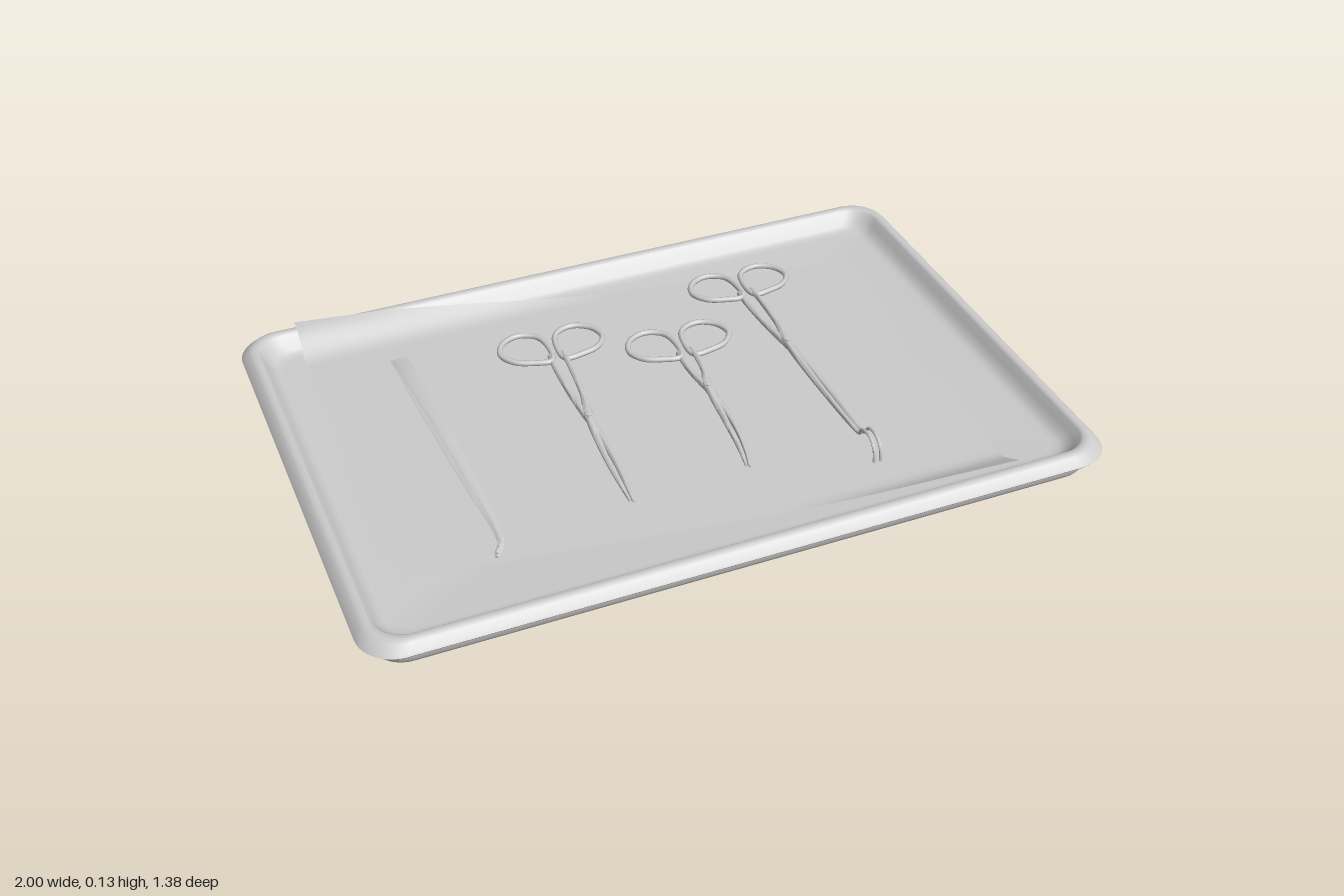
import * as THREE from 'three';
import { toCreasedNormals } from 'three/addons/utils/BufferGeometryUtils.js';

const steel = new THREE.MeshStandardMaterial({ color: 0xcccccc });
const sheet = new THREE.MeshStandardMaterial({ color: 0xcccccc, side: THREE.DoubleSide });
const FLOOR = 0.035, CLOTH = 0.042;

function part(name, geometry, parent, material = steel) {
  const mesh = new THREE.Mesh(geometry, material);
  mesh.name = name;
  parent.add(mesh);
  return mesh;
}

// Skin a stack of equal-length rings and close both ends
function loft(rings, crease) {
  const n = rings[0].length, pos = [], index = [];
  rings.forEach(r => r.forEach(p => pos.push(p.x, p.y, p.z)));
  for (let i = 0; i < rings.length - 1; i++) {
    for (let j = 0; j < n; j++) {
      const a = i * n + j, b = i * n + (j + 1) % n;
      index.push(a, b, b + n, a, b + n, a + n);
    }
  }
  [0, rings.length - 1].forEach((i, end) => {
    const pole = pos.length / 3;
    const c = rings[i].reduce((s, p) => s.add(p), new THREE.Vector3()).divideScalar(n);
    pos.push(c.x, c.y, c.z);
    for (let j = 0; j < n; j++) {
      const a = i * n + j, b = i * n + (j + 1) % n;
      if (end) index.push(pole, a, b); else index.push(pole, b, a);
    }
  });
  const g = new THREE.BufferGeometry();
  g.setAttribute('position', new THREE.Float32BufferAttribute(pos, 3));
  g.setIndex(index);
  g.computeVertexNormals();
  return toCreasedNormals(g, crease);
}

// Sweep an oval section along points [x, y, z, halfWidth, halfHeight]
function sweep(points, steps = 48) {
  const path = new THREE.CatmullRomCurve3(points.map(p => new THREE.Vector3(p[0], p[1], p[2])), false, 'centripetal');
  const up = new THREE.Vector3(0, 1, 0), rings = [];
  for (let i = 0; i <= steps; i++) {
    const t = i / steps, f = t * (points.length - 1);
    const k = Math.min(Math.floor(f), points.length - 2);
    const w = THREE.MathUtils.lerp(points[k][3], points[k + 1][3], f - k);
    const h = THREE.MathUtils.lerp(points[k][4], points[k + 1][4], f - k);
    const T = path.getTangent(t), L = up.clone().cross(T).normalize(), U = T.clone().cross(L);
    const c = path.getPoint(t), ring = [];
    for (let j = 0; j < 10; j++) {
      const a = j / 10 * Math.PI * 2;
      ring.push(c.clone().addScaledVector(L, Math.cos(a) * w).addScaledVector(U, Math.sin(a) * h));
    }
    rings.push(ring);
  }
  return loft(rings, 1);
}

// Rounded rectangle, inset from the outer edge of the tray
function trayRing([inset, y]) {
  const r = 0.1 - 0.4 * inset, ring = [];
  [[1, 1], [-1, 1], [-1, -1], [1, -1]].forEach(([sx, sz], c) => {
    for (let k = 0; k <= 10; k++) {
      const a = (c + k / 10) * Math.PI / 2;
      ring.push(new THREE.Vector3(sx * (1 - inset - r) + r * Math.cos(a), y,
        -(sz * (0.69 - inset - r) + r * Math.sin(a))));
    }
  });
  return ring;
}

// Cloth draped over the floor, climbing the wall where it reaches it
function clothGeometry() {
  const g = new THREE.PlaneGeometry(1, 1, 60, 50), p = g.attributes.position;
  const [A, B, C, D] = [[-0.83, -0.68], [0.8, -0.44], [0.74, 0.63], [-0.87, 0.41]];
  for (let i = 0; i < p.count; i++) {
    const u = p.getX(i) + 0.5, v = 0.5 - p.getY(i);
    const mix = k => (1 - v) * ((1 - u) * A[k] + u * B[k]) + v * ((1 - u) * D[k] + u * C[k]);
    const wave = Math.sin(v * Math.PI) * (0.012 * Math.sin(v * 11) - 0.012);
    const x = mix(0) + wave * (2 * u - 0.6), z = mix(1);
    const d = Math.min(1 - Math.abs(x), 0.69 - Math.abs(z));
    const climb = THREE.MathUtils.smoothstep(0.15 - d, 0, 0.115);
    p.setXYZ(i, x, CLOTH + 0.048 * climb, z);
  }
  g.computeVertexNormals();
  return g;
}

// Ring-handled instrument: two mirrored halves crossing at a pivot
function ringInstrument(name, o) {
  const tool = new THREE.Group();
  tool.name = name;
  tool.position.set(o.x, 0, o.z);
  tool.rotation.y = o.tilt;
  const yAt = z => 0.054 + o.lift * z / o.tip;
  for (const s of [-1, 1]) {
    const side = s < 0 ? 'right' : 'left';
    const loop = [[0.02, 0.075], [0.012, 0], [0.03, -0.05], [0.08, -0.07], [0.13, -0.045],
      [0.148, 0.005], [0.12, 0.05], [0.07, 0.07]].map(([x, z]) => new THREE.Vector3(s * x, yAt(z), z));
    part(side + 'FingerRing', new THREE.TubeGeometry(
      new THREE.CatmullRomCurve3(loop, true), 48, 0.008, 8, true), tool);
    const at = (x, z, w, h, bend = 0) => [s * x + bend, yAt(z) + s * 0.003, z, w, h];
    const span = o.tip - o.pivot;
    const pts = [
      at(0.019, 0.05, 0.007, 0.008), at(0.02, 0.1, 0.008, 0.008),
      at(0.014, o.pivot * 0.7, 0.008, 0.009), at(0.004, o.pivot - 0.03, 0.012, 0.01),
      at(-0.004, o.pivot + 0.04, 0.011, 0.01),
      at(-0.01, o.pivot + span * 0.5, 0.008, 0.008, o.bend * 0.1),
      at(-0.008, o.pivot + span * 0.8, 0.006, 0.006, o.bend * 0.5),
    ];
    if (o.hook) { // jaw arches up and over at the end
      const z = o.tip, y = yAt(z);
      [[-0.09, 0.004], [-0.08, 0.022], [-0.05, 0.034], [-0.02, 0.026], [-0.003, 0.002], [0, -0.025]]
        .forEach(([dz, dy]) => pts.push([s * -0.009, y + dy, z + dz, 0.005, 0.004]));
    } else {
      pts.push(at(-0.005, o.tip, 0.004, 0.004, o.bend));
    }
    part(side + 'Blade', sweep(pts, 72), tool);
  }
  const pin = part('pivotPin', new THREE.CylinderGeometry(0.007, 0.007, 0.03, 16), tool);
  pin.position.set(0, yAt(o.pivot), o.pivot);
  return tool;
}

// Two spring strips joined at the back, with sideways-bent tips
function tweezers() {
  const g = new THREE.Group();
  g.name = 'tweezers';
  const plan = [[-0.595, -0.45, 0.024, 0], [-0.593, -0.35, 0.023, 0.5], [-0.588, -0.1, 0.02, 1],
    [-0.58, 0.15, 0.016, 0.85], [-0.573, 0.34, 0.01, 0.5], [-0.58, 0.4, 0.008, 0.4], [-0.603, 0.435, 0.005, 0.35]];
  [['lowerArm', 0], ['upperArm', 0.034]].forEach(([name, rise]) =>
    part(name, sweep(plan.map(([x, z, w, k]) => [x, 0.05 + rise * k, z, w, 0.003])), g));
  return g;
}

export function createModel() {
  const model = new THREE.Group();
  model.name = 'instrumentTray';

  // Tray: base, flared lip, rolled rim, inner wall, floor
  const profile = [[0.045, 0], [0.038, 0.003], [0.034, 0.01], [0.03, 0.038], [0.032, 0.045], [0.022, 0.047],
    [0.004, 0.052], [0, 0.057], [0.004, 0.063], [0.02, 0.08], [0.03, 0.085], [0.042, 0.085], [0.048, 0.08],
    [0.06, 0.06], [0.075, 0.044], [0.088, 0.037], [0.105, FLOOR]];
  part('tray', loft(profile.map(trayRing), 0.7), model);
  part('cloth', clothGeometry(), model, sheet);

  model.add(tweezers());
  model.add(ringInstrument('straightScissors',
    { x: -0.18, z: -0.35, tilt: -0.06, pivot: 0.36, tip: 0.72, bend: 0, lift: 0 }));
  model.add(ringInstrument('curvedScissors',
    { x: 0.157, z: -0.23, tilt: -0.05, pivot: 0.24, tip: 0.59, bend: -0.025, lift: 0.005 }));
  model.add(ringInstrument('longHookedForceps',
    { x: 0.435, z: -0.435, tilt: -0.022, pivot: 0.35, tip: 0.91, bend: 0, lift: 0.036, hook: true }));
  return model;
}
